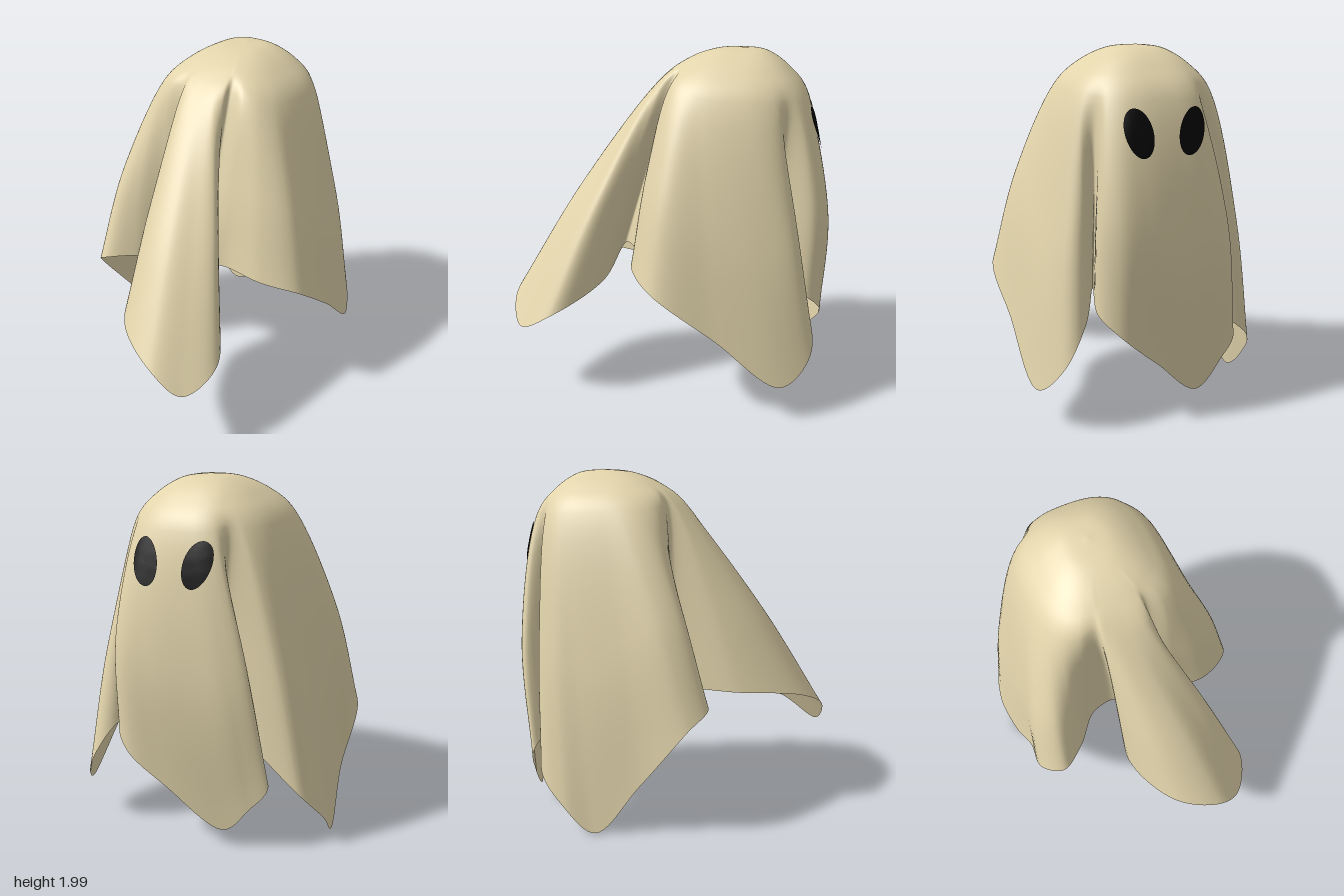
import * as THREE from 'three';

// Four hanging panels of the sheet. Each starts at a pleat, given by its
// angle around the head and its depth, and lists its few hem points.
const PANELS = [
  { name: 'front', angle: -0.28, pleat: 0.13, bulge: 0.045,
    hem: [[-0.04, 0.7, 0.07], [-0.13, 0.72, 0.46], [0.03, 0.69, 0.79], [0.3, 0.57, 0.91], [0.48, 0.43, 0.85],
      [0.56, 0.54, 0.64], [0.35, 0.69, 0.37]] },
  { name: 'left', angle: 0.41, pleat: 0.2, bulge: 0.05,
    hem: [[0.17, 0.86, 0.27], [0.27, 0.86, 0.2], [0.52, 0.83, 0.18], [0.71, 0.76, 0.05], [0.7, 0.5, -0.3],
      [0.66, 0.22, -0.67], [0.55, 0.38, -0.83], [0.42, 0.6, -0.79]] },
  { name: 'back', angle: 2.29, pleat: 0.04, bulge: 0.1,
    hem: [[0.32, 0.72, -0.6], [0.36, 0.64, -0.8], [0.26, 0.53, -0.88], [0.04, 0.34, -0.83], [-0.25, 0.11, -0.73],
      [-0.4, 0.25, -0.71], [-0.5, 0.4, -0.67]] },
  { name: 'right', angle: 3.83, pleat: 0.08, bulge: 0.06,
    hem: [[-0.1, 0.68, -0.5], [-0.62, 0.35, -0.58], [-0.71, 0.16, -0.42], [-0.69, 0.01, -0.24],
      [-0.64, 0.28, 0], [-0.63, 0.61, 0.27], [-0.51, 0.71, 0.36], [-0.36, 0.73, 0.26], [-0.2, 0.69, 0.08]] },
];
const APEX = new THREE.Vector3(0, 2, -0.4);
const AROUND = 310;
const DOWN = 48;

// Rounded-square outline of the shoulders, pulled inward at a pleat
function shoulderPoint(angle, pull) {
  const soft = (v) => Math.sign(v) * Math.pow(Math.abs(v), 0.75);
  const x = 0.4 * soft(Math.sin(angle)) * (1 - pull);
  const z = 0.43 * soft(Math.cos(angle)) * (1 - pull);
  return new THREE.Vector3(x, 1.77 + 0.03 * Math.cos(angle) + 0.2 * pull, z - 0.34);
}

// Closed guide rings: unpleated head, shoulder, half way down and hem
function guideRings() {
  const head = [], shoulder = [], middle = [], hem = [];
  PANELS.forEach((panel, k) => {
    const next = PANELS[(k + 1) % PANELS.length];
    const end = next.angle + (next.angle < panel.angle ? 2 * Math.PI : 0);
    panel.hem.forEach((p, i) => {
      const f = i / panel.hem.length;
      const angle = THREE.MathUtils.lerp(panel.angle, end, f);
      const arch = Math.sin(Math.PI * f);
      const pull = (f < 0.5 ? panel : next).pleat * (1 - arch) ** 2;
      const s = shoulderPoint(angle, pull);
      const h = new THREE.Vector3(...p);
      const m = s.clone().lerp(h, 0.5);
      const out = new THREE.Vector3(m.x, 0, m.z + 0.3).normalize();
      m.addScaledVector(out, panel.bulge * Math.sqrt(arch));
      head.push(shoulderPoint(angle, 0));
      shoulder.push(s);
      middle.push(m);
      hem.push(h);
    });
  });
  return [head, shoulder, middle, hem].map((pts) => new THREE.CatmullRomCurve3(pts, true));
}

// Sheet surface: one smooth strand from the crown to the hem per column
function sheetGeometry() {
  const rings = guideRings();
  const positions = [], index = [];
  for (let i = 0; i < AROUND; i++) {
    const [c, s, m, h] = rings.map((r) => r.getPoint(i / AROUND));
    const dome = [0.35, 0.7].map((r) => {
      const p = APEX.clone().lerp(c, r);
      p.y = 2 - (2 - c.y) * Math.pow(r, 2.4);
      return p;
    });
    const strand = new THREE.CatmullRomCurve3([APEX, ...dome, s, m, h]);
    for (let j = 0; j <= DOWN; j++) {
      positions.push(...strand.getPoint(j / DOWN).toArray());
      if (j === DOWN) continue;
      const a = i * (DOWN + 1) + j;
      const b = ((i + 1) % AROUND) * (DOWN + 1) + j;
      index.push(a, a + 1, b + 1);
      if (j > 0) index.push(a, b + 1, b);
    }
  }
  const geometry = new THREE.BufferGeometry();
  geometry.setAttribute('position', new THREE.Float32BufferAttribute(positions, 3));
  geometry.setIndex(index);
  geometry.computeVertexNormals();
  // One shared upward normal at the crown
  const normal = geometry.attributes.normal;
  for (let i = 0; i < AROUND; i++) normal.setXYZ(i * (DOWN + 1), 0, 1, 0);
  return geometry;
}

// Oval eye laid onto the back of the sheet
function eyeGeometry(sheet, cx, cy, tilt) {
  const geometry = new THREE.RingGeometry(0.001, 1, 36, 5);
  geometry.scale(0.075, 0.125, 1);
  geometry.rotateZ(tilt);
  geometry.rotateY(Math.PI);
  geometry.translate(cx, cy, 0);
  const pos = geometry.attributes.position;
  const ray = new THREE.Raycaster();
  for (let i = 0; i < pos.count; i++) {
    ray.set(new THREE.Vector3(pos.getX(i), pos.getY(i), -3), new THREE.Vector3(0, 0, 1));
    pos.setZ(i, ray.intersectObject(sheet)[0].point.z - 0.008);
  }
  geometry.computeVertexNormals();
  return geometry;
}

export function createModel() {
  const cloth = new THREE.MeshStandardMaterial({ color: 0xe2d4ab, side: THREE.DoubleSide });
  cloth.name = 'cloth';
  const black = new THREE.MeshStandardMaterial({ color: 0x050505, side: THREE.DoubleSide });
  black.name = 'black';

  const group = new THREE.Group();
  group.name = 'sheetGhost';

  const sheet = new THREE.Mesh(sheetGeometry(), cloth);
  sheet.name = 'sheet';
  group.add(sheet);

  const leftEye = new THREE.Mesh(eyeGeometry(sheet, 0.145, 1.575, 0.2), black);
  leftEye.name = 'leftEye';
  const rightEye = new THREE.Mesh(eyeGeometry(sheet, -0.155, 1.575, -0.3), black);
  rightEye.name = 'rightEye';
  group.add(leftEye, rightEye);

  return group;
}
